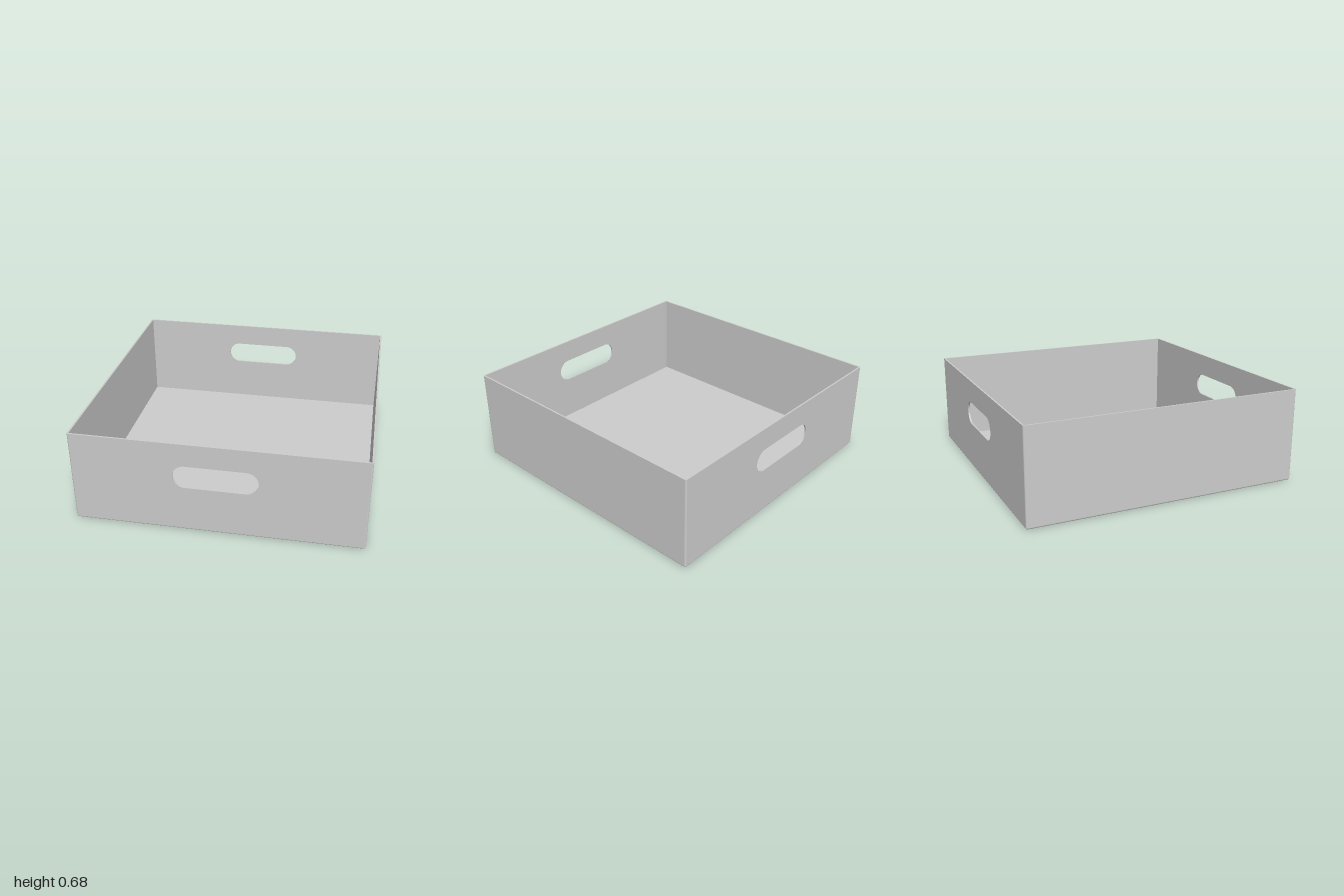
import * as THREE from 'three';

const H = 0.675; // tray height
const T = 0.012; // sheet thickness, also the outer edge radius
const IN = 1 - T; // half size inside the walls
const Q = Math.PI / 2;

// Wall panel, optionally with a rounded handle slot centred on slotX
function wallGeometry(slotX) {
  const shape = new THREE.Shape();
  shape.moveTo(-IN, T).lineTo(IN, T).lineTo(IN, H).lineTo(-IN, H).closePath();
  if (slotX !== null) {
    const r = 0.084, y = 0.425, half = 0.289 - r;
    const slot = new THREE.Path();
    slot.absarc(slotX + half, y, r, -Q, Q, false);
    slot.absarc(slotX - half, y, r, Q, 3 * Q, false);
    slot.closePath();
    shape.holes.push(slot);
  }
  return new THREE.ExtrudeGeometry(shape, { depth: T, bevelEnabled: false, curveSegments: 24 });
}

export function createModel() {
  const tray = new THREE.Group();
  tray.name = 'tray';
  const material = new THREE.MeshStandardMaterial({ color: 0xcccccc });
  const add = (parent, name, geometry, x, y, z) => {
    const mesh = new THREE.Mesh(geometry, material);
    mesh.name = name;
    mesh.position.set(x, y, z);
    parent.add(mesh);
    return mesh;
  };

  // Floor
  add(tray, 'floor', new THREE.BoxGeometry(2 * IN, T, 2 * IN), 0, T / 2, 0);

  // Quarter-round pieces for the outer edges
  const uprightEdge = new THREE.CylinderGeometry(T, T, H - T, 8, 1, false, 0, Q);
  const lowerEdge = new THREE.CylinderGeometry(T, T, 2 * IN, 8, 1, true, -Q, Q).rotateZ(Q);
  const cornerBall = new THREE.SphereGeometry(T, 8, 8, Q, Q, Q, Q);

  // Four sides in turn: front, left, back, right; slots in front and back
  const slots = [-0.005, null, 0.005, null];
  ['front', 'left', 'back', 'right'].forEach((name, i) => {
    const side = new THREE.Group();
    side.name = name + 'Side';
    side.rotation.y = i * Q;
    add(side, name + 'Wall', wallGeometry(slots[i]), 0, 0, IN);
    add(side, 'uprightEdge', uprightEdge, IN, (H + T) / 2, IN);
    add(side, 'lowerEdge', lowerEdge, 0, T, IN);
    add(side, 'lowerCorner', cornerBall, IN, T, IN);
    tray.add(side);
  });

  return tray;
}
